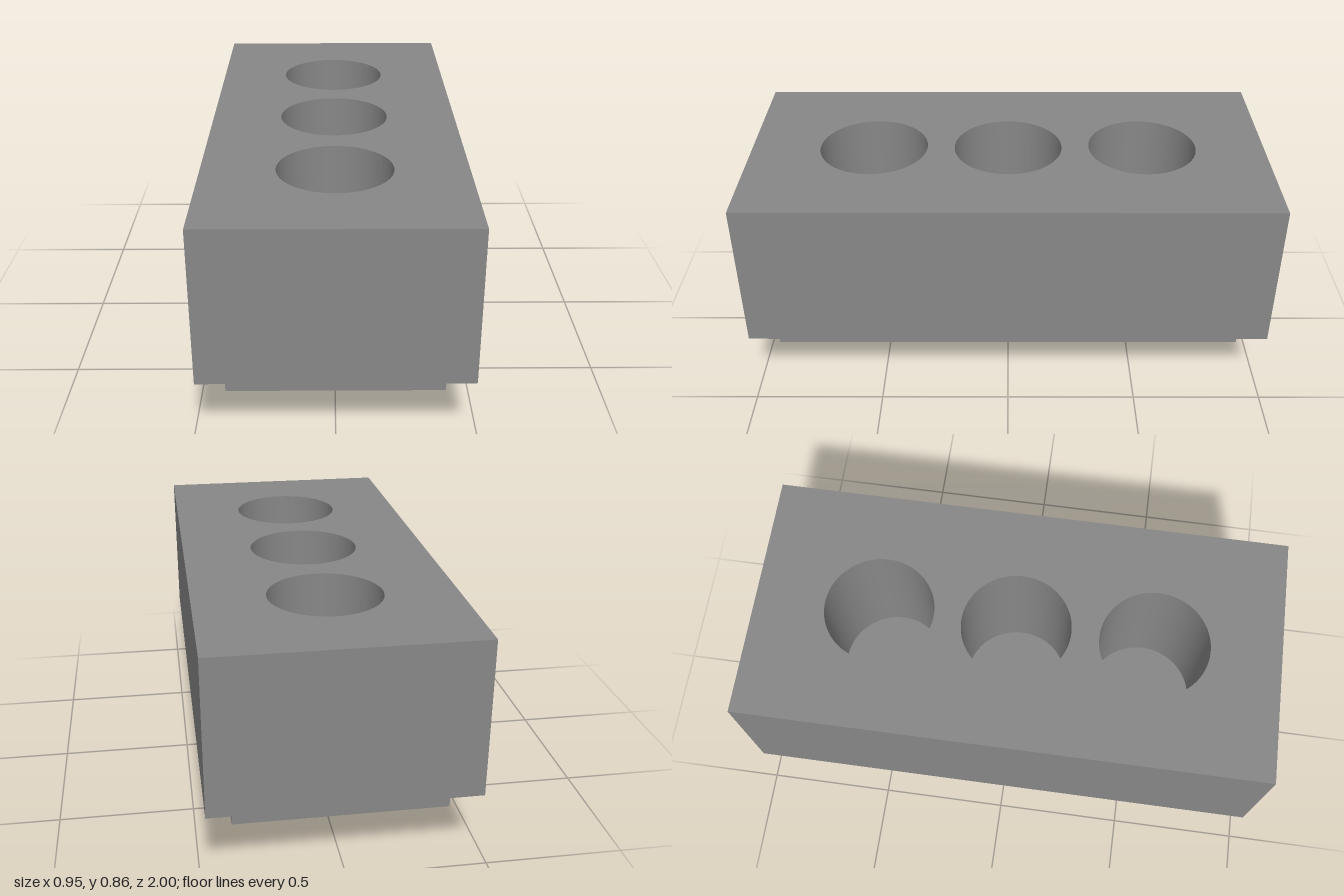
import * as THREE from 'three';
import { toCreasedNormals } from 'three/addons/utils/BufferGeometryUtils.js';

const SPACING = 0.524; // distance between pockets, and from centre to each foot
const HOLE_RADIUS = 0.209;
const FOOT_TOP = 0.187, BASE_TOP = 0.281, BODY_TOP = 0.861;

export function createModel() {
  const model = new THREE.Group();
  const material = new THREE.MeshStandardMaterial({ color: 0x878787 });

  const add = (name, geometry, x, y, z) => {
    const mesh = new THREE.Mesh(geometry, material);
    mesh.name = name;
    mesh.position.set(x, y, z);
    model.add(mesh);
  };

  // Main block with three round pockets, floored by the base plate
  const outline = new THREE.Shape();
  outline.moveTo(-0.476, -1).lineTo(0.476, -1).lineTo(0.476, 1).lineTo(-0.476, 1).closePath();
  for (const i of [-1, 0, 1]) {
    const hole = new THREE.Path();
    hole.absarc(0, i * SPACING, HOLE_RADIUS, 0, Math.PI * 2, true);
    outline.holes.push(hole);
  }
  const body = new THREE.ExtrudeGeometry(outline, {
    depth: BODY_TOP - BASE_TOP, bevelEnabled: false, curveSegments: 64,
  });
  body.rotateX(-Math.PI / 2);
  add('body', toCreasedNormals(body, 0.5), 0, BASE_TOP, 0);

  // Recessed base plate
  const baseHeight = BASE_TOP - FOOT_TOP;
  add('basePlate', new THREE.BoxGeometry(0.766, baseHeight, 1.814), 0, FOOT_TOP + baseHeight / 2, 0);

  // Two tapered feet
  for (const [name, side] of [['frontFoot', 1], ['backFoot', -1]]) {
    add(name, new THREE.CylinderGeometry(0.209, 0.105, FOOT_TOP, 64), 0, FOOT_TOP / 2, side * SPACING);
  }

  return model;
}
